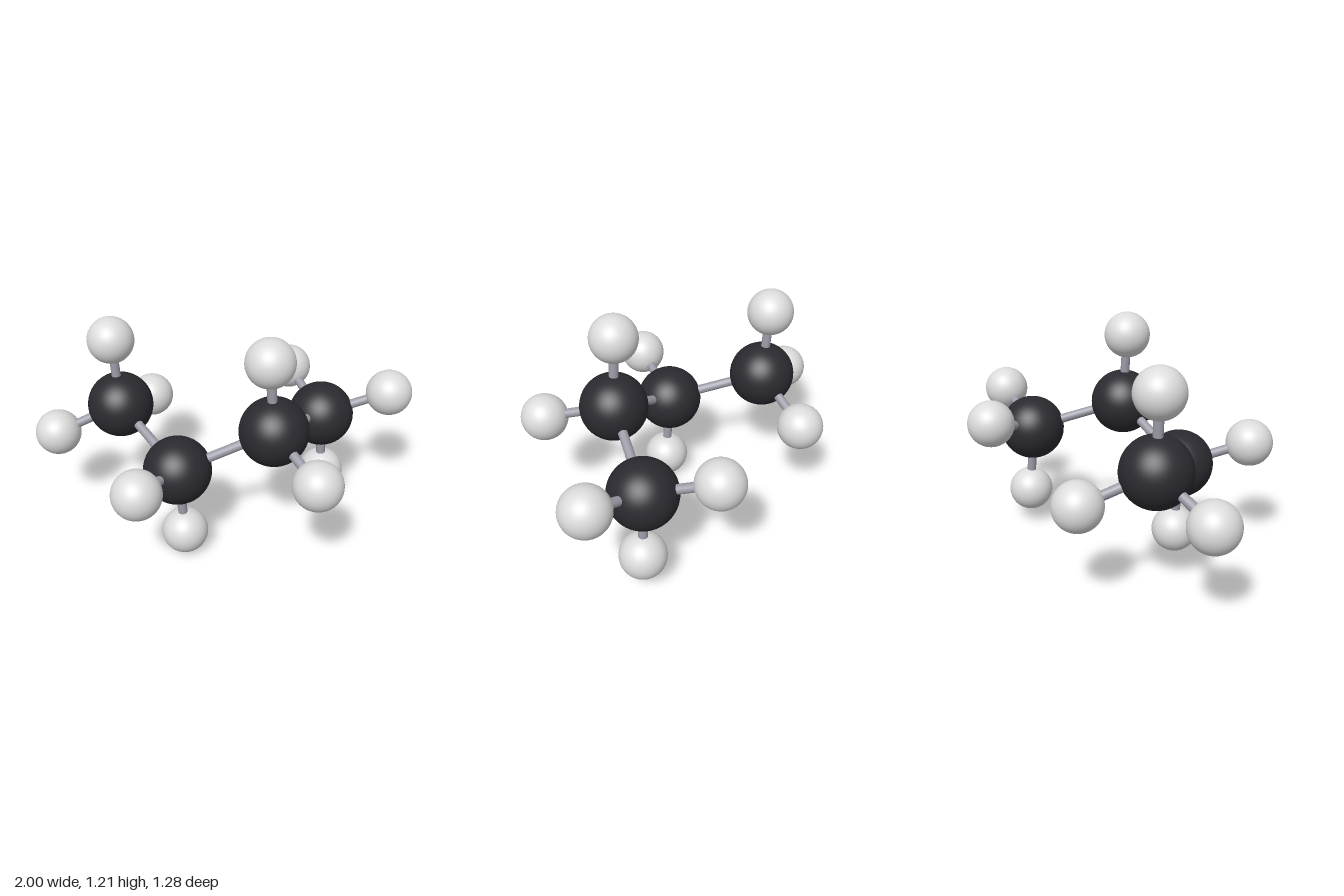
import * as THREE from 'three';

const CARBON_RADIUS = 0.172, HYDROGEN_RADIUS = 0.12, BOND_RADIUS = 0.024;

// Each chain atom with the hydrogens attached to it
const chain = [
  { at: [-0.54, 0.65, -0.2], hydrogens: [[-0.565, 1.02, -0.21], [-0.88, 0.505, -0.165], [-0.395, 0.52, -0.525]] },
  { at: [-0.238, 0.5, 0.203], hydrogens: [[-0.21, 0.12, 0.207], [-0.416, 0.595, 0.52]] },
  { at: [0.235, 0.717, 0.203], hydrogens: [[0.205, 1.09, 0.207], [0.41, 0.622, 0.52]] },
  { at: [0.533, 0.568, -0.2], hydrogens: [[0.56, 0.195, -0.21], [0.88, 0.71, -0.165], [0.39, 0.69, -0.525]] },
];

export function createModel() {
  const model = new THREE.Group();
  model.name = 'molecule';

  const material = (name, color) => {
    const m = new THREE.MeshStandardMaterial({ color });
    m.name = name;
    return m;
  };
  const charcoal = material('charcoal', 0x2a2a30);
  const paleGrey = material('paleGrey', 0xdcdcdc);
  const bondGrey = material('bondGrey', 0x9c9ca8);

  const carbonBall = new THREE.SphereGeometry(CARBON_RADIUS, 48, 32);
  const hydrogenBall = new THREE.SphereGeometry(HYDROGEN_RADIUS, 40, 28);

  const addBall = (name, geometry, mat, at) => {
    const ball = new THREE.Mesh(geometry, mat);
    ball.name = name;
    ball.position.set(...at);
    model.add(ball);
  };

  // Straight rod between two atom centres
  const addBond = (name, from, to) => {
    const a = new THREE.Vector3(...from), b = new THREE.Vector3(...to);
    const direction = b.clone().sub(a);
    const rod = new THREE.Mesh(
      new THREE.CylinderGeometry(BOND_RADIUS, BOND_RADIUS, direction.length(), 20, 1, true), bondGrey);
    rod.name = name;
    rod.position.copy(a).add(b).multiplyScalar(0.5);
    rod.quaternion.setFromUnitVectors(new THREE.Vector3(0, 1, 0), direction.normalize());
    model.add(rod);
  };

  chain.forEach(({ at, hydrogens }, i) => {
    addBall(`carbon${i + 1}`, carbonBall, charcoal, at);
    if (i > 0) addBond(`chainBond${i}`, chain[i - 1].at, at);
    hydrogens.forEach((h, j) => {
      addBall(`hydrogen${i + 1}_${j + 1}`, hydrogenBall, paleGrey, h);
      addBond(`hydrogenBond${i + 1}_${j + 1}`, at, h);
    });
  });

  return model;
}
